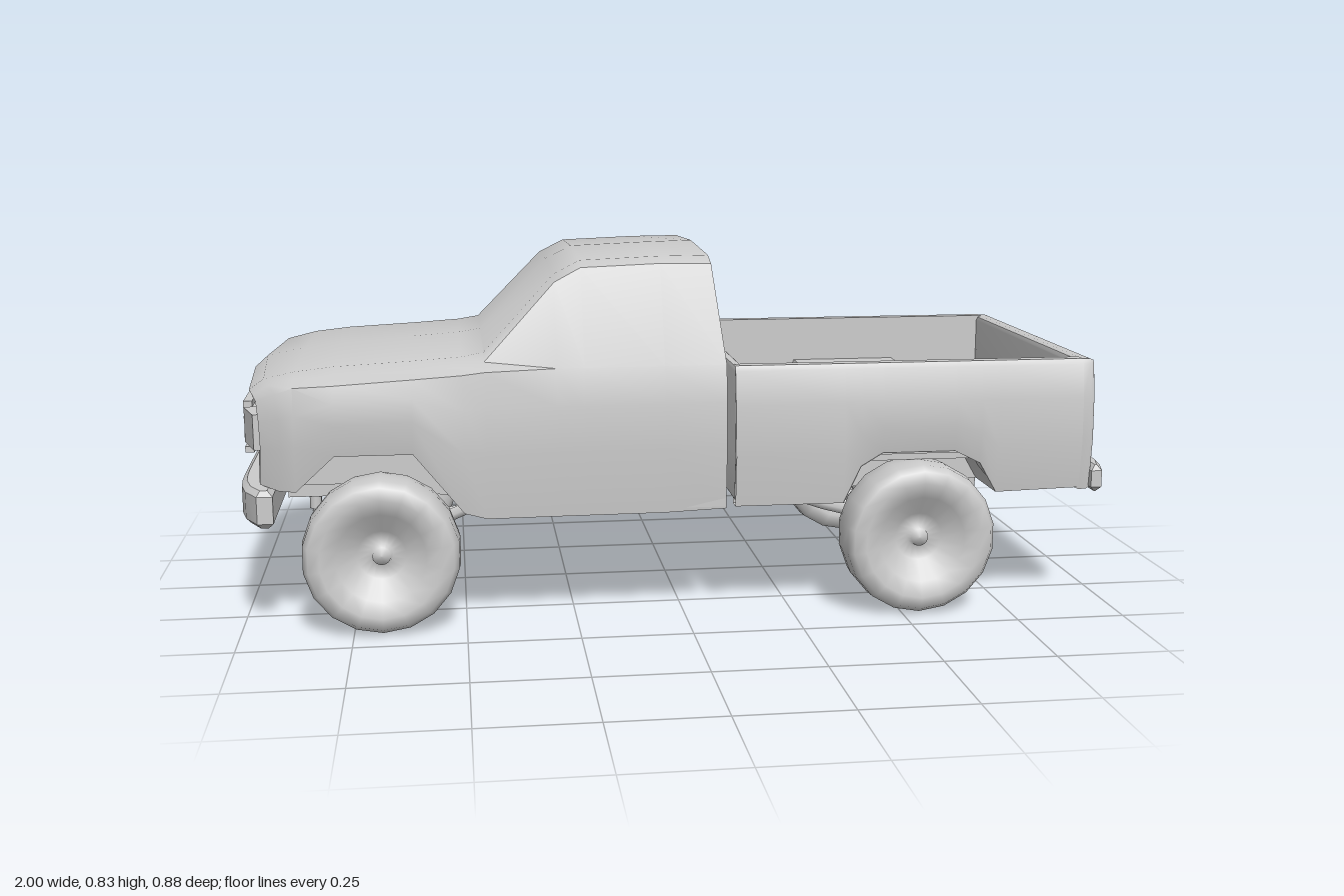
import * as THREE from 'three';
import { toCreasedNormals } from 'three/addons/utils/BufferGeometryUtils.js';

const mat = new THREE.MeshStandardMaterial({ color: 0xcccccc, roughness: 0.8 });
const matDouble = new THREE.MeshStandardMaterial({ color: 0xcccccc, roughness: 0.8, side: THREE.DoubleSide });

function add(parent, name, geometry, material = mat) {
  const mesh = new THREE.Mesh(geometry, material);
  mesh.name = name;
  parent.add(mesh);
  return mesh;
}

// Box given by its min and max corners
function box(parent, name, x0, x1, y0, y1, z0, z1) {
  const g = new THREE.BoxGeometry(x1 - x0, y1 - y0, z1 - z0);
  g.translate((x0 + x1) / 2, (y0 + y1) / 2, (z0 + z1) / 2);
  return add(parent, name, g);
}

// Round bar between two points
function rod(parent, name, a, b, r) {
  const p = new THREE.Vector3(...a), q = new THREE.Vector3(...b);
  const mesh = add(parent, name, new THREE.CylinderGeometry(r, r, p.distanceTo(q), 10));
  mesh.position.copy(p).add(q).multiplyScalar(0.5);
  mesh.quaternion.setFromUnitVectors(new THREE.Vector3(0, 1, 0), q.sub(p).normalize());
  return mesh;
}

const shapeOf = points => new THREE.Shape(points.map(p => new THREE.Vector2(...p)));

// Skin over rows of points, all rows of equal length
function loft(rows, crease) {
  const n = rows[0].length, index = [];
  for (let i = 0; i < rows.length - 1; i++) {
    for (let j = 0; j < n - 1; j++) {
      const a = i * n + j, b = a + 1, c = a + n, d = c + 1;
      index.push(a, c, b, b, c, d);
    }
  }
  const g = new THREE.BufferGeometry();
  g.setAttribute('position', new THREE.Float32BufferAttribute(rows.flat(2), 3));
  g.setIndex(index);
  return toCreasedNormals(g, crease);
}

// Hood and cab: one shell of cross-sections from nose to rear window
function cabShell() {
  // x, half width, lower edge, belt line, top half width, top edge, top centre
  const stations = [
    [-0.985, 0.37, 0.34, 0.525, 0.33, 0.535, 0.545],
    [-0.955, 0.40, 0.33, 0.545, 0.35, 0.56, 0.572],
    [-0.865, 0.415, 0.33, 0.56, 0.36, 0.573, 0.59],
    [-0.78, 0.427, 0.41, 0.565, 0.36, 0.58, 0.601],
    [-0.61, 0.427, 0.41, 0.575, 0.36, 0.586, 0.612],
    [-0.5, 0.415, 0.27, 0.58, 0.36, 0.592, 0.62],
    [-0.45, 0.41, 0.255, 0.585, 0.355, 0.602, 0.628],
    [-0.29, 0.407, 0.255, 0.59, 0.31, 0.772, 0.795],
    [-0.23, 0.406, 0.255, 0.59, 0.302, 0.803, 0.825],
    [-0.05, 0.404, 0.255, 0.59, 0.302, 0.81, 0.832],
    [0.09, 0.402, 0.26, 0.59, 0.302, 0.808, 0.835],
  ];
  const rows = stations.map(([x, w, bot, belt, tz, ty, top], i) => {
    const mix = t => bot + (belt - bot) * t;
    const half = [[w - 0.012, bot], [w, mix(0.45)], [w - 0.004, mix(0.75)], [w - 0.016, belt], [tz, ty], [tz * 0.88, ty + (top - ty) * 0.6]];
    const ring = [...half, [0, top], ...half.map(([z, y]) => [-z, y]).reverse()];
    return ring.map(([z, y]) => {
      let px = x;
      if (i < 2) px += 0.06 * (z / 0.4) ** 4; // rounded nose
      if (i === stations.length - 1) px -= Math.max(0, y - 0.59) * 0.11; // leaning rear window
      return [px, y, z];
    });
  });
  const cap = p => rows[0].map(() => p);
  return loft([cap([-0.985, 0.45, 0]), ...rows, cap([0.09, 0.5, 0])], 0.72);
}

const frontArch = [[-0.865, 0.33], [-0.78, 0.41], [-0.61, 0.41], [-0.5, 0.27]];
const rearArch = [[0.36, 0.265], [0.4, 0.35], [0.45, 0.38], [0.62, 0.38], [0.68, 0.35], [0.72, 0.28]];

// Bed side, hollow section whose lower edge follows the wheel arch
function bedSide(side) {
  const stations = [[0.11, 0.265], ...rearArch, [0.92, 0.285]];
  const rows = stations.map(([x, bot]) => {
    const pts = [[0.36, bot], [0.396, bot], [0.408, bot + (0.5 - bot) * 0.5], [0.405, 0.5], [0.393, 0.575], [0.387, 0.587], [0.36, 0.587], [0.36, bot]];
    return pts.map(([z, y]) => [x, y, side * z]);
  });
  return loft(side > 0 ? rows : rows.reverse(), 0.5);
}

// Full-width bed end wall whose outline matches the bed sides
function bedWall(parent, name, x0, x1, bevel) {
  const half = [[0.394, 0.28], [0.407, 0.4], [0.404, 0.5], [0.392, 0.575], [0.386, 0.586]];
  const outline = [...half, ...half.map(([z, y]) => [-z, y]).reverse()];
  const g = new THREE.ExtrudeGeometry(shapeOf(outline), {
    depth: x1 - x0 - 2 * bevel, bevelThickness: bevel, bevelSize: bevel, bevelOffset: -bevel, bevelSegments: 2,
  });
  g.translate(0, 0, x0 + bevel).rotateY(Math.PI / 2);
  add(parent, name, toCreasedNormals(g, 0.6));
}

// Wheel-well liner: arch strip and inner wall
function wheelWell(parent, name, arch, side) {
  const strip = arch.map(([x, y]) => [[x, y, side * 0.25], [x, y, side * 0.4]]);
  add(parent, name, loft(strip, 0.8), matDouble);
  const wall = new THREE.ShapeGeometry(shapeOf(arch));
  add(parent, name + 'Wall', wall.translate(0, 0, side * 0.25), matDouble);
}

// Bumper: plan outline with swept-back ends, given height
function bumper(parent, name, xOuter, xInner, sweep, y0, y1) {
  const w = 0.41, steps = 14, b = 0.012, pts = [];
  for (let i = 0; i <= steps; i++) {
    const t = -1 + (2 * i) / steps;
    pts.push([xOuter + sweep * t ** 6, t * w]);
  }
  pts.push([xInner, w], [xInner, -w]);
  const g = new THREE.ExtrudeGeometry(shapeOf(pts), { depth: y1 - y0 - 2 * b, bevelThickness: b, bevelSize: b, bevelOffset: -b, bevelSegments: 1 });
  g.rotateX(-Math.PI / 2).translate(0, y0 + b, 0);
  add(parent, name, toCreasedNormals(g, 0.5));
}

// Chunky tyre with a soft dish and a small hub
function wheelGeometry() {
  const profile = [[0, -0.02], [0.05, -0.025], [0.1, -0.058], [0.135, -0.07], [0.162, -0.064], [0.174, -0.045], [0.177, 0],
    [0.174, 0.045], [0.162, 0.064], [0.135, 0.071], [0.1, 0.058], [0.055, 0.025], [0.025, 0.015], [0.02, 0.035], [0, 0.038]];
  const g = new THREE.LatheGeometry(profile.map(p => new THREE.Vector2(...p)), 18);
  return g.rotateX(Math.PI / 2);
}

export function createModel() {
  const truck = new THREE.Group();
  truck.name = 'pickupTruck';

  // Cab and floor
  add(truck, 'cabAndHood', cabShell(), matDouble);
  box(truck, 'cabFloor', -0.48, 0.088, 0.265, 0.285, -0.392, 0.392);
  box(truck, 'engineBay', -0.9, -0.48, 0.31, 0.43, -0.25, 0.25);

  // Grille and lamps
  const grille = new THREE.Group();
  grille.name = 'grille';
  truck.add(grille);
  for (const y of [0.385, 0.42, 0.455, 0.49]) box(grille, 'grilleBar', -0.99, -0.97, y, y + 0.014, -0.23, 0.23);
  for (const s of [-1, 1]) {
    const lamp = add(grille, 'headlight', new THREE.BoxGeometry(0.03, 0.08, 0.1));
    lamp.position.set(-0.957, 0.455, s * 0.3);
    lamp.rotation.y = s * 0.3;
  }

  // Bumpers
  bumper(truck, 'frontBumper', -1, -0.915, 0.05, 0.25, 0.335);
  bumper(truck, 'rearBumper', 1, 0.945, -0.03, 0.275, 0.338);

  // Cargo bed
  const bed = new THREE.Group();
  bed.name = 'bed';
  truck.add(bed);
  box(bed, 'bedFloor', 0.112, 0.92, 0.355, 0.375, -0.365, 0.365);
  bedWall(bed, 'bedFrontWall', 0.108, 0.125, 0.003);
  bedWall(bed, 'tailgate', 0.908, 0.95, 0.012);

  const wheel = wheelGeometry();
  for (const s of [-1, 1]) {
    add(bed, 'bedSide', bedSide(s), matDouble);
    wheelWell(truck, 'frontWheelWell', frontArch, s);
    wheelWell(truck, 'rearWheelWell', rearArch, s);

    // Wheel housing inside the bed, with sloping ends
    const housing = shapeOf([[0.35, 0.37], [0.72, 0.37], [0.67, 0.475], [0.4, 0.475]]);
    const g = new THREE.ExtrudeGeometry(housing, { depth: 0.12, bevelEnabled: false });
    add(bed, 'wheelHousing', g.translate(0, 0, s > 0 ? 0.25 : -0.37));

    // Wheels and brake drums
    for (const x of [-0.685, 0.54]) {
      const m = add(truck, 'wheel', wheel);
      m.position.set(x, 0.18, s * 0.371);
      if (s < 0) m.rotation.y = Math.PI;
      rod(truck, 'brakeDrum', [x, 0.18, s * 0.28], [x, 0.18, s * 0.35], 0.05);
    }
  }

  // Chassis
  const chassis = new THREE.Group();
  chassis.name = 'chassis';
  truck.add(chassis);
  for (const [x, diffZ, diffY] of [[-0.685, 0.11, 0.165], [0.54, 0, 0.175]]) {
    rod(chassis, 'axle', [x, 0.172, -0.3], [x, 0.172, 0.3], 0.023);
    const diff = add(chassis, 'differential', new THREE.SphereGeometry(0.055, 10, 8));
    diff.scale.set(1, 0.9, 1.25);
    diff.position.set(x, diffY, diffZ);
  }
  for (const s of [-1, 1]) {
    const z = s * 0.2;
    box(chassis, 'frameRail', -0.9, -0.47, 0.275, 0.315, z - 0.018, z + 0.018);
    for (const [x, x0, x1, top] of [[-0.685, -0.84, -0.46, 0.3], [0.54, 0.27, 0.72, 0.36]]) {
      const curve = new THREE.QuadraticBezierCurve3(
        new THREE.Vector3(x0, 0.25, z), new THREE.Vector3(x, 0.13, z), new THREE.Vector3(x1, 0.25, z));
      add(chassis, 'leafSpring', new THREE.TubeGeometry(curve, 10, 0.015, 5));
      for (const end of [x0, x1]) rod(chassis, 'springShackle', [end, 0.245, z], [end, top, z], 0.014);
      box(chassis, 'springClamp', x - 0.035, x + 0.035, 0.135, 0.205, z - 0.028, z + 0.028);
      rod(chassis, 'shockAbsorber', [x + 0.03, 0.16, s * 0.25], [x + 0.07, 0.36, s * 0.2], 0.014);
    }
  }
  box(chassis, 'transferCase', -0.28, -0.15, 0.22, 0.27, -0.05, 0.12);
  rod(chassis, 'rearDriveshaft', [-0.15, 0.25, 0], [0.05, 0.248, 0], 0.012);
  rod(chassis, 'rearDriveshaft', [0.05, 0.248, 0], [0.5, 0.18, 0], 0.014);
  rod(chassis, 'frontDriveshaft', [-0.28, 0.245, 0.1], [-0.65, 0.175, 0.1], 0.014);
  rod(chassis, 'steeringRod', [-0.76, 0.165, -0.3], [-0.76, 0.165, 0.3], 0.01);

  return truck;
}
